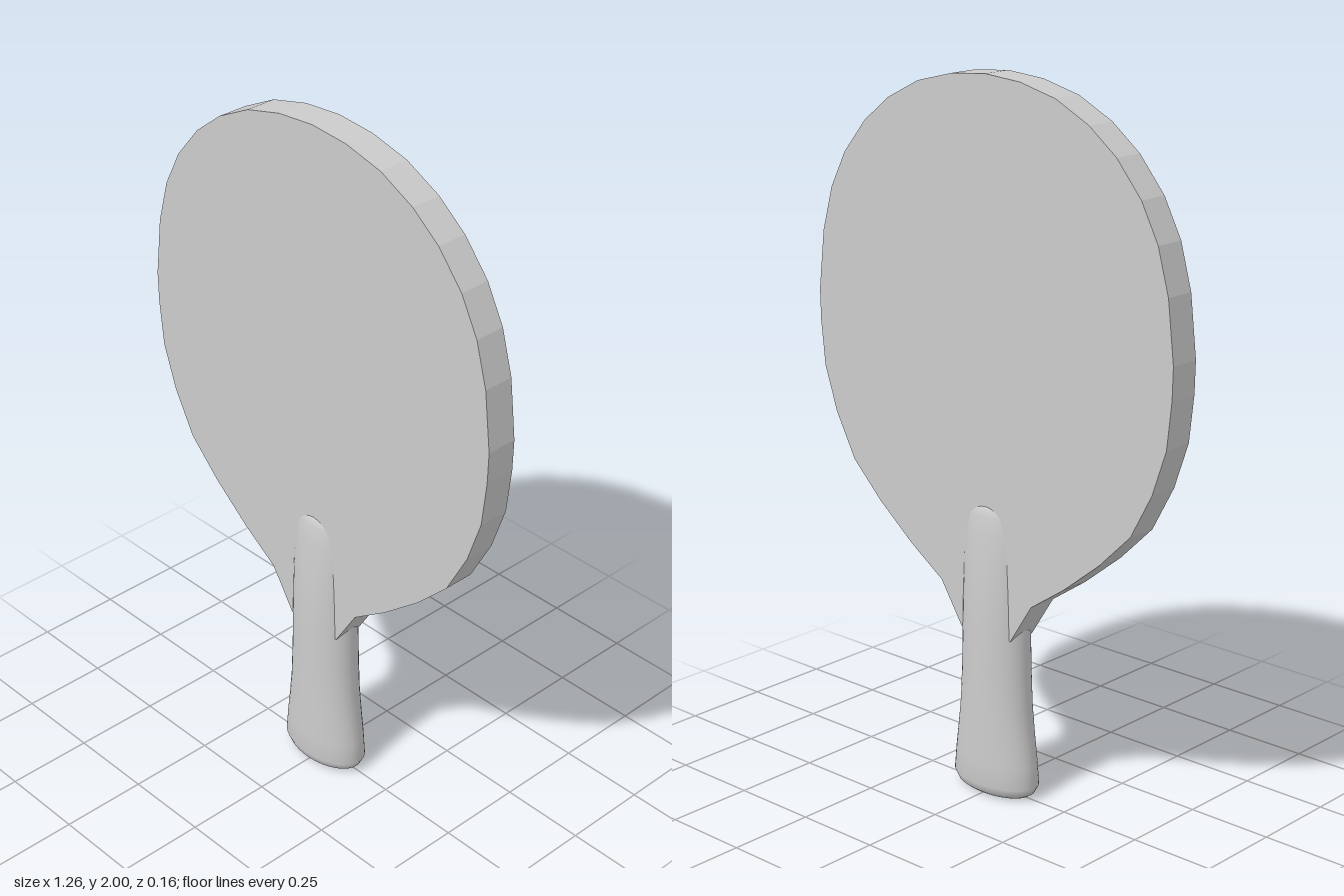
import * as THREE from 'three';

const material = new THREE.MeshStandardMaterial({ color: 0xcccccc });

// Flat blade: right half of the outline, from the top down to the neck, mirrored
function createBlade() {
  const half = [
    [0, 2], [0.12, 1.99], [0.24, 1.96], [0.35, 1.905], [0.44, 1.835], [0.52, 1.74],
    [0.575, 1.635], [0.61, 1.51], [0.63, 1.34], [0.628, 1.25], [0.614, 1.12],
    [0.571, 0.993], [0.503, 0.866], [0.4, 0.764], [0.28, 0.667], [0.165, 0.588], [0.09, 0.47],
  ];
  const mirrored = half.slice(1).reverse().map(([x, y]) => [-x, y]);
  const outline = [...half, ...mirrored].map(([x, y]) => new THREE.Vector2(x, y));
  const depth = 0.09;
  const geometry = new THREE.ExtrudeGeometry(new THREE.Shape(outline), { depth, bevelEnabled: false });
  geometry.translate(0, 0, -depth / 2);
  return new THREE.Mesh(geometry, material);
}

// Handle: loft of elliptical rings, flared at the foot and thinning into the blade
function createHandle() {
  const rings = [ // height, half width, half depth
    [0, 0, 0], [0, 0.1, 0.052], [0.003, 0.115, 0.062], [0.012, 0.128, 0.073], [0.035, 0.141, 0.082],
    [0.1, 0.134, 0.082], [0.18, 0.123, 0.081], [0.26, 0.114, 0.079], [0.36, 0.109, 0.078],
    [0.48, 0.106, 0.077], [0.58, 0.105, 0.074], [0.68, 0.105, 0.068], [0.76, 0.104, 0.06],
    [0.81, 0.102, 0.053], [0.84, 0.098, 0.044], [0.85, 0, 0],
  ];
  const sides = 40;
  const positions = [];
  const index = [];
  rings.forEach(([y, a, b], r) => {
    for (let i = 0; i < sides; i++) {
      const t = (i / sides) * Math.PI * 2;
      positions.push(a * Math.sin(t), y, b * Math.cos(t));
      if (r === 0) continue;
      const next = (i + 1) % sides;
      const low = (r - 1) * sides;
      const high = r * sides;
      index.push(low + i, low + next, high + next, low + i, high + next, high + i);
    }
  });
  const geometry = new THREE.BufferGeometry();
  geometry.setAttribute('position', new THREE.Float32BufferAttribute(positions, 3));
  geometry.setIndex(index);
  geometry.computeVertexNormals();
  return new THREE.Mesh(geometry, material);
}

export function createModel() {
  const paddle = new THREE.Group();
  paddle.name = 'paddle';
  const blade = createBlade();
  blade.name = 'blade';
  const handle = createHandle();
  handle.name = 'handle';
  paddle.add(blade, handle);
  return paddle;
}
